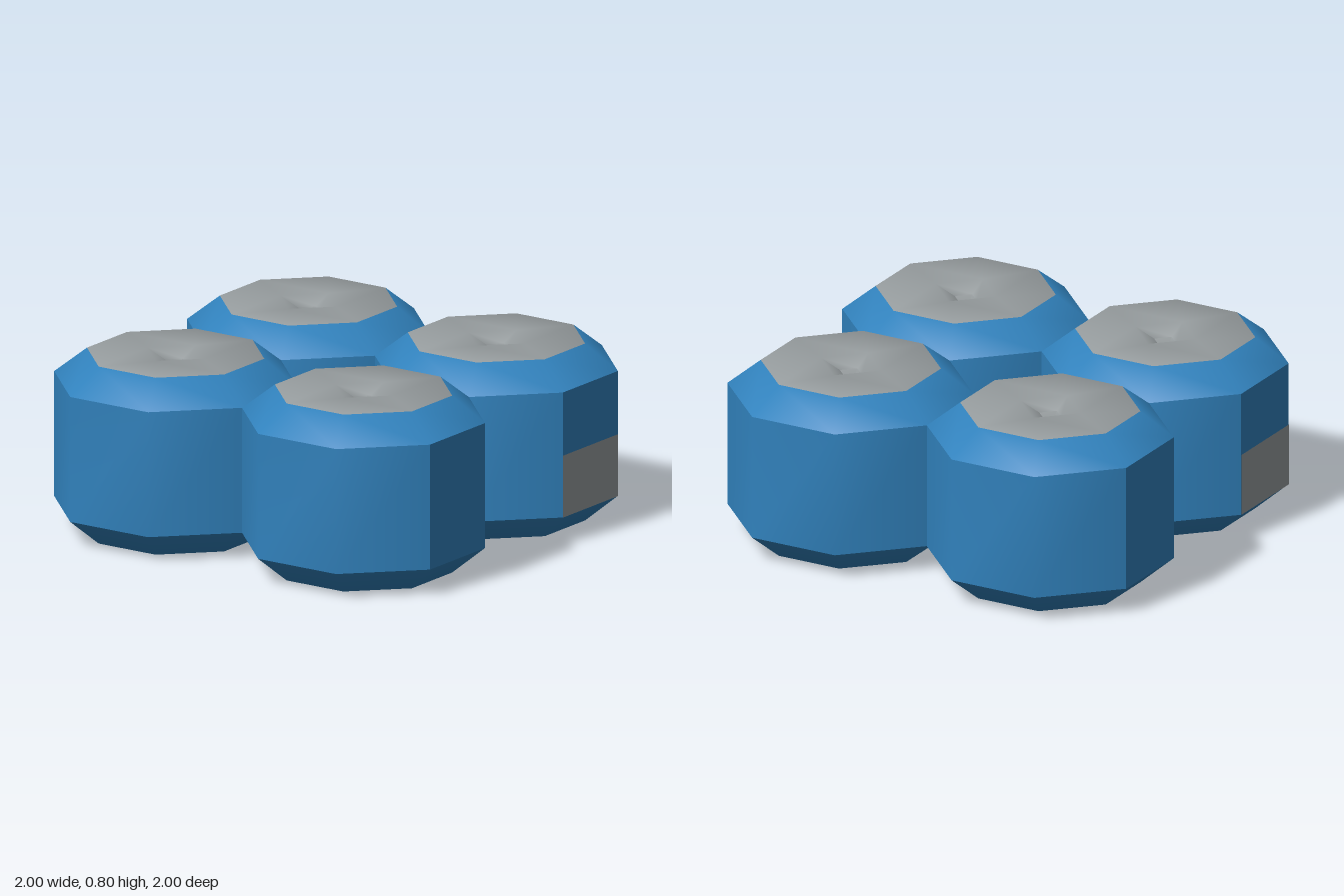
import * as THREE from 'three';
import { toCreasedNormals } from 'three/addons/utils/BufferGeometryUtils.js';

const APOTHEM = 0.5, LOW = 0.12, HIGH = 0.685, HEIGHT = 0.8;
const CORNER = APOTHEM / Math.cos(Math.PI / 8); // octagon corner radius
const CAP = 0.365 / Math.cos(Math.PI / 8);
const CREASE = THREE.MathUtils.degToRad(46);

function octagonLathe(profile) {
  const points = profile.map(([r, y]) => new THREE.Vector2(r, y));
  return new THREE.LatheGeometry(points, 8, Math.PI / 8, Math.PI * 2);
}

// Bevelled shoulder, flat cap and a four-sided dimple in its middle
function topGeometry() {
  const geo = octagonLathe([[CORNER, HIGH], [CAP, HEIGHT], [0.15, HEIGHT], [0.055, 0.762], [0, 0.68]]);
  const pos = geo.attributes.position;
  // Snap the dimple's rings from eight corners to four, on the x and z axes
  for (let i = 0; i < pos.count; i++) {
    const r = Math.hypot(pos.getX(i), pos.getZ(i));
    if (r > 0.2) continue;
    const a = Math.round(Math.atan2(pos.getX(i), pos.getZ(i)) / (Math.PI / 2)) * Math.PI / 2;
    pos.setXYZ(i, r * Math.sin(a), pos.getY(i), r * Math.cos(a));
  }
  // The outermost ring of faces is the painted shoulder, the rest is the cap
  for (let i = 0; i < 8; i++) {
    geo.addGroup(i * 24, 6, 0);
    geo.addGroup(i * 24 + 6, 18, 1);
  }
  return toCreasedNormals(geo, CREASE);
}

// A run of wall faces, smooth within itself
function wallGeometry(start, faces) {
  const geo = new THREE.CylinderGeometry(CORNER, CORNER, HIGH - LOW, faces, 1, true, start, faces * Math.PI / 4);
  geo.translate(0, (LOW + HIGH) / 2, 0);
  return toCreasedNormals(geo, CREASE);
}

export function createModel() {
  const blue = new THREE.MeshStandardMaterial({ color: 0x3182bd });
  blue.name = 'blue paint';
  const grey = new THREE.MeshStandardMaterial({ color: 0x969c9e });
  grey.name = 'grey metal';

  const top = topGeometry();
  const base = toCreasedNormals(octagonLathe([[0, 0], [CAP, 0], [CORNER, LOW]]), CREASE);
  const step = Math.PI / 8;
  const walls = {
    frontWall: wallGeometry(-step, 1),
    leftWall: wallGeometry(step, 3),
    backWall: wallGeometry(7 * step, 1),
    rightWall: wallGeometry(9 * step, 3),
  };
  const plateHeight = 0.4 - LOW;
  const plate = new THREE.PlaneGeometry(2 * APOTHEM * Math.tan(step), plateHeight);
  plate.translate(0, LOW + plateHeight / 2, APOTHEM + 0.002);

  const model = new THREE.Group();
  model.name = 'tankCluster';
  const add = (parent, name, geometry, material) => {
    const mesh = new THREE.Mesh(geometry, material);
    mesh.name = name;
    parent.add(mesh);
    return mesh;
  };

  // Four tanks in a square, touching along their flat sides
  for (const z of [1, -1]) {
    for (const x of [1, -1]) {
      const tank = new THREE.Group();
      tank.name = (z > 0 ? 'front' : 'back') + (x > 0 ? 'Left' : 'Right') + 'Tank';
      tank.position.set(x * APOTHEM, 0, z * APOTHEM);
      add(tank, 'base', base, blue);
      for (const [name, geometry] of Object.entries(walls)) add(tank, name, geometry, blue);
      add(tank, 'shoulderAndCap', top, [blue, grey]);
      // Grey panel on the outer face of two diagonally opposite tanks
      if (x === z) add(tank, 'panel', plate, grey).rotation.y = z > 0 ? 0 : Math.PI;
      model.add(tank);
    }
  }
  return model;
}
